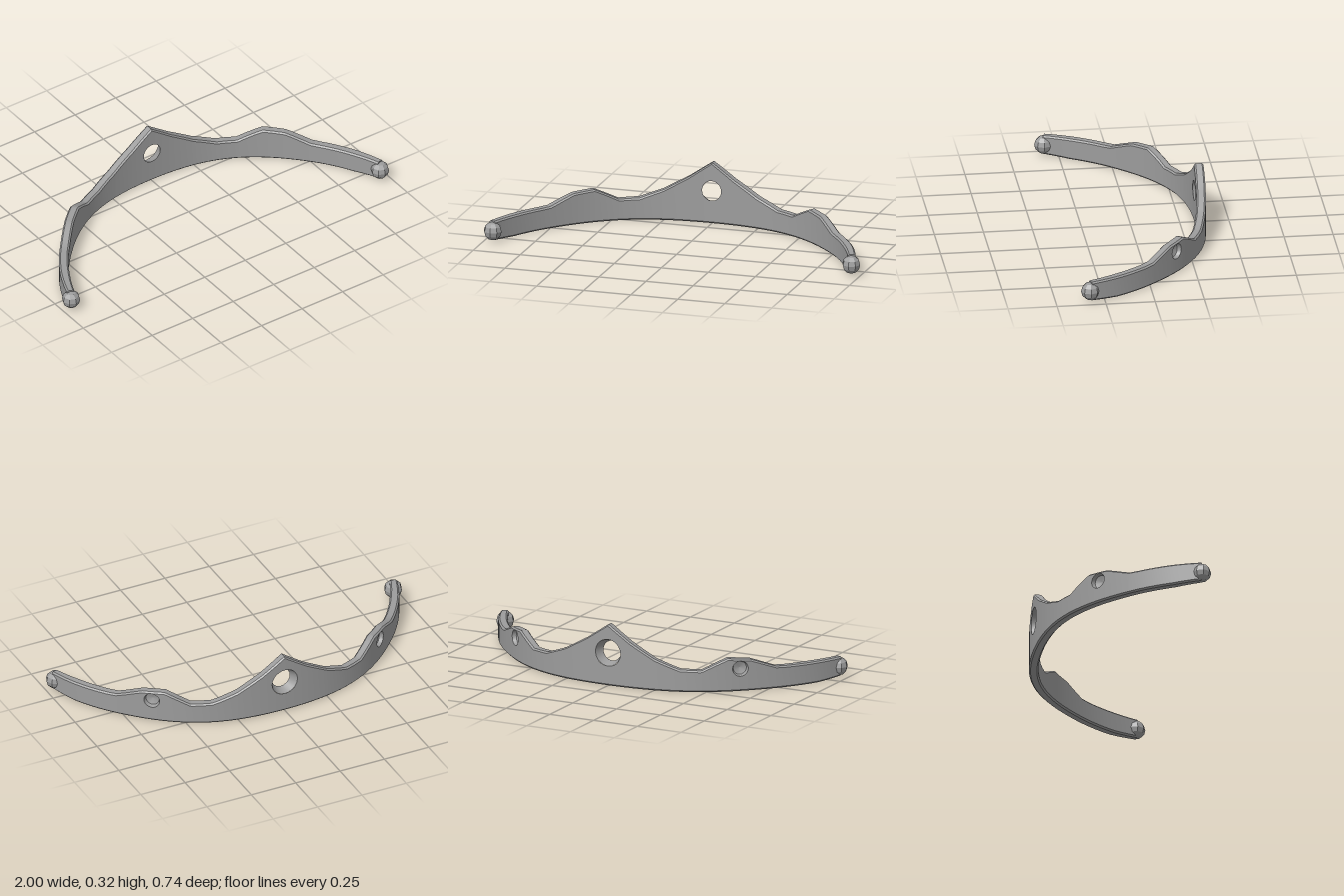
import * as THREE from 'three';
import { toCreasedNormals } from 'three/addons/utils/BufferGeometryUtils.js';

const R = 1.0146, ZC = 0.6676, END = 1.225, HALF = 0.024, CH = 0.008;

// Half outline of the top edge: [x, height]
const CREST = [[0, 0.32], [0.12, 0.237], [0.25, 0.162], [0.37, 0.115], [0.47, 0.111], [0.58, 0.172],
  [0.67, 0.163], [0.765, 0.113], [0.9, 0.111], [1.1, 0.107]];

// Openings: centre angle, height, radius on the outer and inner face (0 = not cut through)
const PIT = Math.asin(0.632 / (R + 0.01));
const OPENINGS = [
  { t: 0, y: 0.172, outer: 0.07, inner: 0.052 },
  { t: PIT, y: 0.118, outer: 0.04, inner: 0 },
  { t: -PIT, y: 0.118, outer: 0.04, inner: 0 },
];

// Point on the bent band: angle along it, height, offset outwards
function bend(t, y, d) {
  const a = Math.abs(t);
  const bulge = a < 0.85 ? 0.015 * Math.sin(Math.PI * a / 0.85) ** 2 : 0;
  const r = R + bulge + d;
  return [r * Math.sin(t), y, ZC - r * Math.cos(t)];
}

function crest(t) {
  const x = Math.abs(bend(t, 0, 0)[0]);
  const i = CREST.findIndex((p, k) => k > 0 && x <= p[0]);
  const [x0, y0] = CREST[i - 1], [x1, y1] = CREST[i];
  return y0 + (y1 - y0) * (x - x0) / (x1 - x0);
}

const endFade = t => Math.max(0, (Math.abs(t) - 1.08) / (END - 1.08));
const halfThickness = t => HALF - 0.004 * endFade(t);

// Bevelled cross-section: [height, offset], up the outer face and down the inner one
function section(t) {
  const top = crest(t), low = 0.01 * endFade(t), h = halfThickness(t);
  return [[low + CH, h], [top - CH, h], [top, h - CH], [top, CH - h],
    [top - CH, -h], [low + CH, -h], [low, CH - h], [low, h - CH]];
}

// Angles of all cross-sections, including those needed by the openings
function stations() {
  const list = [];
  for (let i = -26; i <= 26; i++) list.push(END * i / 26);
  for (const [x] of CREST.slice(1, 8)) {
    const t = Math.asin(x / (R + 0.008));
    list.push(t, -t);
  }
  for (const o of OPENINGS) for (const r of [o.outer, o.inner]) {
    if (r) for (let k = 0; k <= 10; k++) list.push(o.t + r * Math.cos(Math.PI * k / 10) / R);
  }
  list.sort((a, b) => a - b);
  return list.filter((t, i) => i === 0 || t - list[i - 1] > 1e-5);
}

function bandGeometry() {
  const pos = [];
  const tri = (a, b, c) => pos.push(...a, ...b, ...c);
  const quad = (a, b, c, d) => { tri(a, b, c); tri(a, c, d); };
  const ts = stations();

  for (let i = 0; i + 1 < ts.length; i++) {
    const t0 = ts[i], t1 = ts[i + 1], s0 = section(t0), s1 = section(t1);
    const strip = (a0, b0, a1, b1) =>
      quad(bend(t0, ...a0), bend(t0, ...b0), bend(t1, ...b1), bend(t1, ...a1));
    for (let k = 0; k < 8; k++) {
      const n = (k + 1) % 8;
      const side = k === 0 ? 'outer' : k === 4 ? 'inner' : null;
      const hole = side && OPENINGS.find(o => Math.abs((t0 + t1) / 2 - o.t) * R < o[side]);
      if (!hole) { strip(s0[k], s0[n], s1[k], s1[n]); continue; }
      // Leave the opening free: one strip before it and one after it
      const sign = k === 0 ? -1 : 1;
      const rim = (t, up, d) =>
        [hole.y + up * Math.sqrt(Math.max(0, hole[side] ** 2 - ((t - hole.t) * R) ** 2)), d];
      strip(s0[k], rim(t0, sign, s0[k][1]), s1[k], rim(t1, sign, s1[k][1]));
      strip(rim(t0, -sign, s0[k][1]), s0[n], rim(t1, -sign, s1[k][1]), s1[n]);
    }
  }

  // Walls of the central hole and the two side sockets: rings of [radius, offset]
  for (const o of OPENINGS) {
    const rings = o.inner ? [[o.outer, HALF], [o.inner, -HALF]]
      : [[o.outer, HALF], [0.034, HALF - 0.02], [0, HALF - 0.032]];
    const at = ([r, d], j) => {
      const a = Math.PI * j / 10;
      return bend(o.t + r * Math.cos(a) / R, o.y + r * Math.sin(a), d);
    };
    for (let k = 0; k + 1 < rings.length; k++) for (let j = 0; j < 20; j++) {
      const a = at(rings[k], j), b = at(rings[k + 1], j);
      const c = at(rings[k + 1], j + 1), d = at(rings[k], j + 1);
      if (rings[k + 1][0]) quad(a, b, c, d);
      else tri(a, b, d);
    }
  }

  // End caps
  for (const t of [-END, END]) {
    const p = section(t).map(q => bend(t, ...q));
    for (let k = 1; k < 7; k++) t > 0 ? tri(p[0], p[k], p[k + 1]) : tri(p[0], p[k + 1], p[k]);
  }

  const g = new THREE.BufferGeometry();
  g.setAttribute('position', new THREE.Float32BufferAttribute(pos, 3));
  return toCreasedNormals(g, 0.5);
}

export function createModel() {
  const metal = new THREE.MeshStandardMaterial({ color: 0x9c9c9c });
  metal.name = 'grey metal';
  const group = new THREE.Group();
  group.name = 'circlet';

  const band = new THREE.Mesh(bandGeometry(), metal);
  band.name = 'band';
  group.add(band);

  // Faceted beads on both ends
  for (const side of [-1, 1]) {
    const bead = new THREE.Mesh(toCreasedNormals(new THREE.SphereGeometry(0.047, 8, 6), 0.4), metal);
    bead.name = side > 0 ? 'leftEndBead' : 'rightEndBead';
    bead.position.set(side * 0.953, 0.057, 0.325);
    group.add(bead);
  }
  return group;
}
